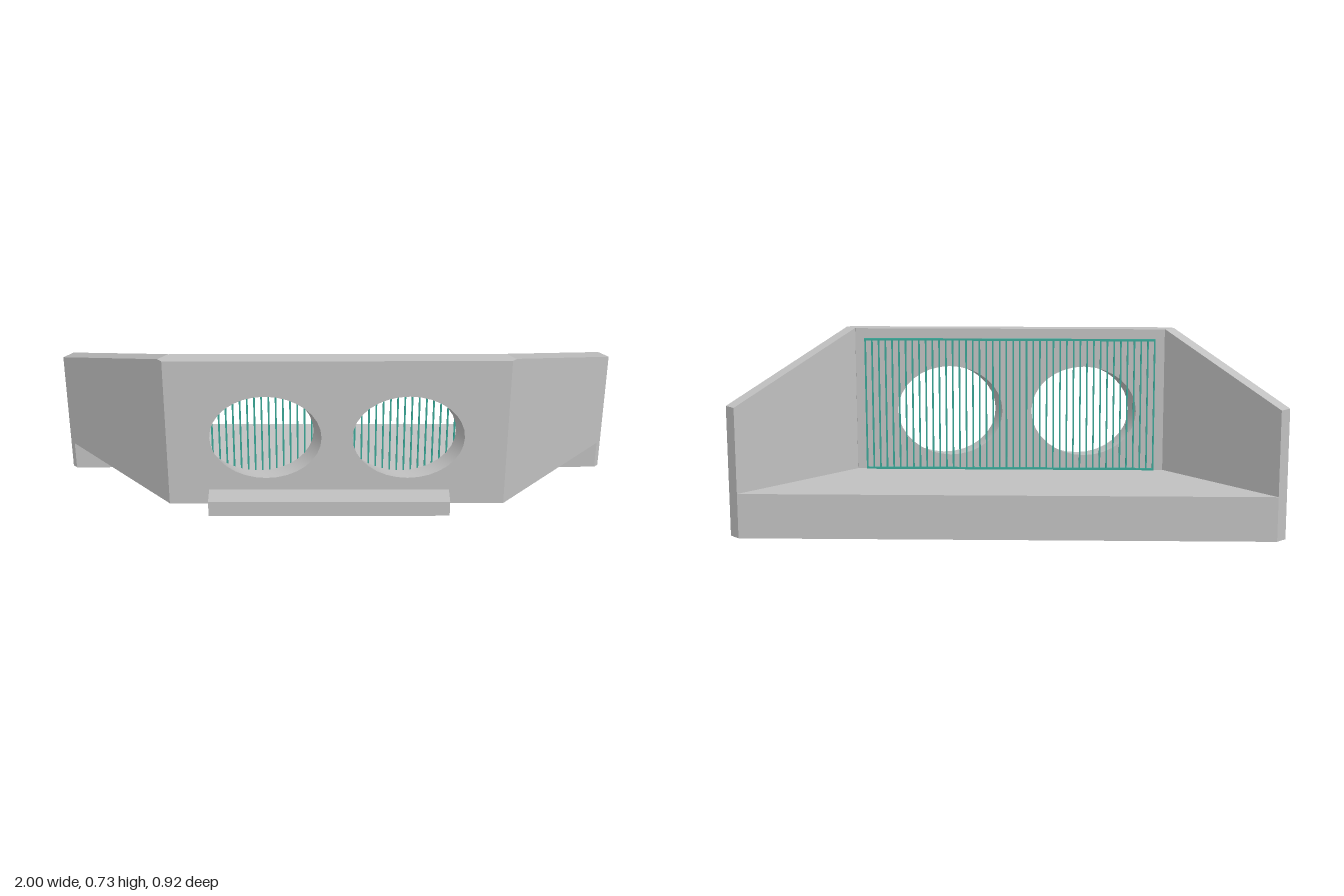
import * as THREE from 'three';
import { toCreasedNormals } from 'three/addons/utils/BufferGeometryUtils.js';

const GREY = new THREE.MeshStandardMaterial({ color: 0xc0c0c0 });
GREY.name = 'concrete grey';
const TEAL = new THREE.MeshStandardMaterial({ color: 0x3aa898 });
TEAL.name = 'grille teal';

const TOP = 0.732, END_TOP = 0.5, UNDERSIDE = 0.115, FLOOR = 0.172;
const T = 0.05;                       // wall thickness
const FRONT_X = 0.622, FRONT_Z = 0.27; // outer front corner
const INNER_X = 0.6, INNER_Z = FRONT_Z - T;
const WING = 0.594;                   // wing length

function add(parent, name, geometry, material) {
  const mesh = new THREE.Mesh(geometry, material);
  mesh.name = name;
  parent.add(mesh);
  return mesh;
}

// Vertical prism over a plan outline of [x, z] points
function prism(points, y0, y1) {
  const shape = new THREE.Shape(points.map(([x, z]) => new THREE.Vector2(x, -z)));
  return new THREE.ExtrudeGeometry(shape, { depth: y1 - y0, bevelEnabled: false })
    .rotateX(-Math.PI / 2).translate(0, y0, 0);
}

// Front wall with two round openings bored at 30 degrees and mitred ends
function frontWallGeometry() {
  const shape = new THREE.Shape([
    new THREE.Vector2(-FRONT_X, UNDERSIDE), new THREE.Vector2(FRONT_X, UNDERSIDE),
    new THREE.Vector2(FRONT_X, TOP), new THREE.Vector2(-FRONT_X, TOP),
  ]);
  for (const x of [-0.26, 0.262]) {
    const hole = new THREE.Path();
    hole.absellipse(x, 0.407, 0.177 / Math.cos(Math.PI / 6), 0.177, 0, Math.PI * 2, true);
    shape.holes.push(hole);
  }
  const geometry = new THREE.ExtrudeGeometry(shape, { depth: T, bevelEnabled: false, curveSegments: 16 });
  const p = geometry.attributes.position;
  for (let i = 0; i < p.count; i++) {
    if (p.getZ(i) > T / 2) continue;
    const x = p.getX(i);
    const edge = Math.abs(x) > INNER_X;
    p.setX(i, edge ? Math.sign(x) * INNER_X : x - T * Math.tan(Math.PI / 6));
  }
  geometry.translate(0, 0, INNER_Z);
  return toCreasedNormals(geometry, 0.6);
}

export function createModel() {
  const model = new THREE.Group();
  model.name = 'headwall';
  const body = new THREE.Group();
  body.name = 'angledBody';
  body.rotation.y = THREE.MathUtils.degToRad(16);
  body.position.set(0.041, 0, -0.007);
  model.add(body);

  add(body, 'frontWall', frontWallGeometry(), GREY);

  // Sloped wing walls, swept back at 45 degrees
  for (const side of [-1, 1]) {
    const profile = [[0, UNDERSIDE], [WING, UNDERSIDE], [WING, END_TOP], [0.022, TOP], [0, TOP]];
    const shape = new THREE.Shape(profile.map(([s, y]) => new THREE.Vector2(side * s, y)));
    const wing = add(body, side > 0 ? 'leftWing' : 'rightWing',
      new THREE.ExtrudeGeometry(shape, { depth: T, bevelEnabled: false }), GREY);
    wing.rotation.y = side * Math.PI / 4;
    const inset = T * Math.SQRT1_2;
    wing.position.set(side * (FRONT_X - inset), 0, FRONT_Z - inset);
  }

  // Apron floor and the downward toe along its rear edge
  const back = WING * Math.SQRT1_2, inset = T * Math.SQRT1_2;
  const endX = FRONT_X + back, endZ = FRONT_Z - back;
  const rearX = endX - inset, rearZ = endZ - inset;
  add(body, 'floor', prism([
    [-INNER_X, INNER_Z], [INNER_X, INNER_Z], [rearX, rearZ], [-rearX, rearZ],
  ], UNDERSIDE, FLOOR), GREY);
  const toeZ = rearZ + T, toeX = endX - (toeZ - endZ);
  add(body, 'rearToe', prism([
    [-toeX, toeZ], [toeX, toeZ], [endX, endZ], [rearX, rearZ], [-rearX, rearZ], [-endX, endZ],
  ], 0, UNDERSIDE), GREY);

  // Ledge under the openings
  const ledge = add(body, 'frontLedge', new THREE.BoxGeometry(0.89, 0.063, 0.08), GREY);
  ledge.position.set(-0.028, UNDERSIDE + 0.0315, FRONT_Z + 0.04);

  // Grille of thin upright bars between two rails behind the openings
  const grille = new THREE.Group();
  grille.name = 'grille';
  grille.position.z = INNER_Z - 0.005;
  body.add(grille);
  const half = 0.565, railTop = 0.69, count = 44;
  for (const [name, y] of [['topRail', railTop], ['bottomRail', FLOOR + 0.004]]) {
    add(grille, name, new THREE.BoxGeometry(half * 2, 0.008, 0.008), TEAL).position.y = y;
  }
  const barGeometry = new THREE.BoxGeometry(0.006, railTop - FLOOR, 0.008);
  for (let i = 0; i < count; i++) {
    const bar = add(grille, 'grilleBar', barGeometry, TEAL);
    bar.position.set(-half + 0.003 + (i / (count - 1)) * (half * 2 - 0.006), (railTop + FLOOR) / 2, 0);
  }
  return model;
}
